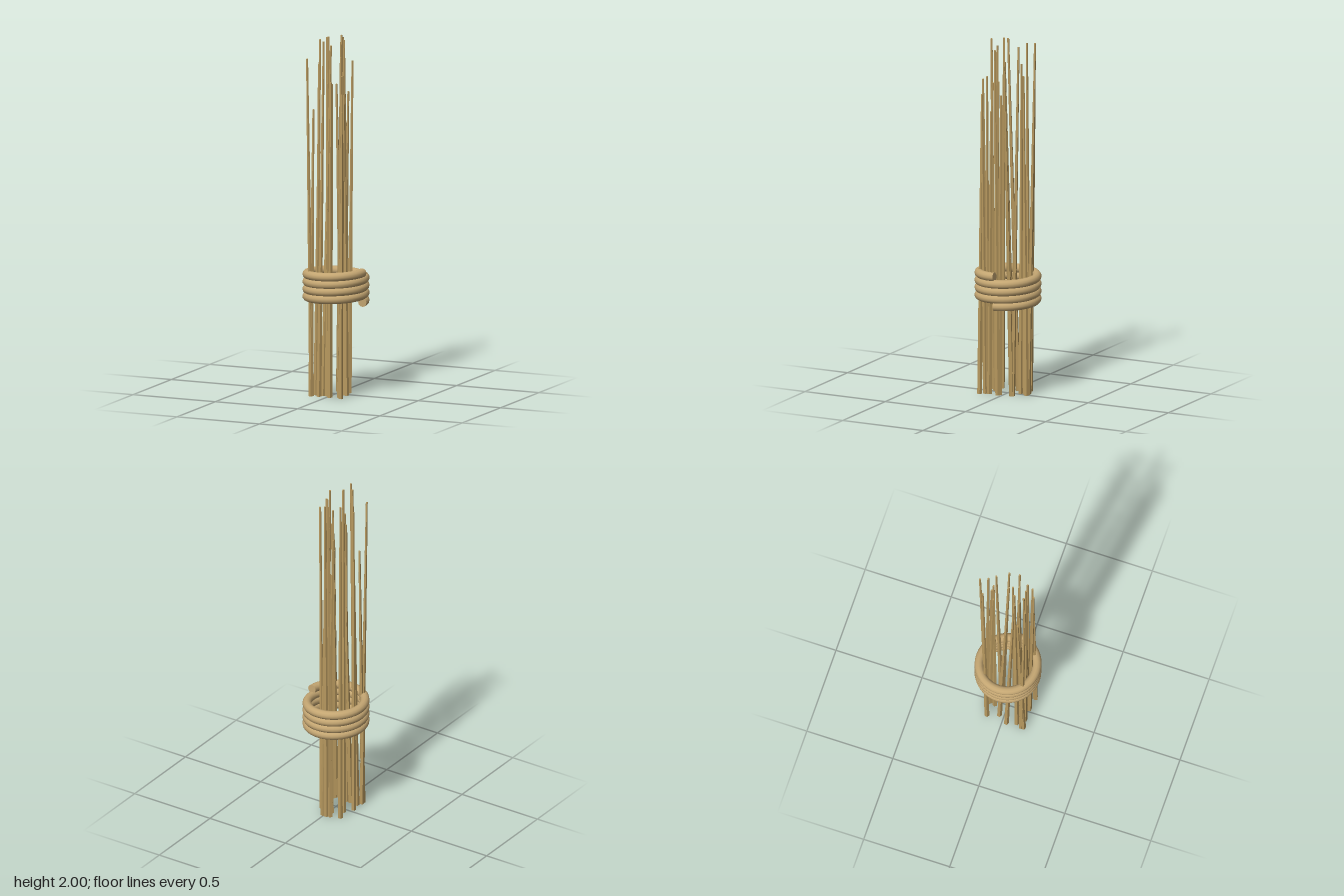
import * as THREE from 'three';

const straw = new THREE.MeshStandardMaterial({ color: 0xb8995f, flatShading: true });
const cord = new THREE.MeshStandardMaterial({ color: 0xc4a672 });

// Stalks: base x, base z, tip x, tip z, tip height
const STALKS = [
  [-0.016, -0.117, -0.029, -0.153, 1.97],
  [-0.09, -0.092, -0.105, -0.112, 1.97],
  [0.052, -0.056, 0.014, -0.073, 1.97],
  [0.058, -0.052, 0.09, -0.023, 1.87],
  [-0.068, -0.027, -0.036, 0.018, 2.0],
  [-0.1, 0.024, -0.075, 0.06, 1.85],
  [-0.084, 0.08, -0.068, 0.06, 1.99],
  [-0.097, 0.108, -0.112, 0.136, 1.89],
  [-0.096, 0.122, -0.096, 0.088, 1.6],
  [-0.038, 0.085, 0.0, 0.066, 1.96],
  [-0.012, 0.084, -0.02, 0.07, 1.75],
  [-0.05, 0.115, -0.022, 0.113, 1.99],
  [0.017, 0.114, 0.015, 0.086, 1.75],
  [0.016, 0.118, 0.033, 0.138, 1.77],
  [0.058, 0.022, 0.076, 0.003, 1.7],
  [0.074, 0.024, 0.07, 0.045, 1.95],
  [0.064, 0.082, 0.066, 0.07, 1.6],
  [0.062, 0.094, 0.08, 0.088, 1.8],
  [0.07, 0.104, 0.1, 0.11, 1.7],
  [0.088, 0.13, 0.09, 0.116, 1.6],
  [0.006, -0.118, -0.012, -0.09, 1.8],
  [-0.036, -0.11, -0.018, -0.108, 1.99],
  [-0.018, -0.07, -0.008, -0.08, 1.87],
  [-0.012, -0.1, -0.032, -0.075, 1.72],
];

// Tapered five-sided stalk, sheared so both ends stay level
function makeStalk([bx, bz, tx, tz, h], i) {
  const geo = new THREE.CylinderGeometry(0.006, 0.0145, h, 5);
  geo.rotateY(i * 1.3);
  geo.translate(0, h / 2, 0);
  const p = geo.attributes.position;
  for (let k = 0; k < p.count; k++) {
    const t = p.getY(k) / h;
    p.setX(k, p.getX(k) + bx + (tx - bx) * t);
    p.setZ(k, p.getZ(k) + bz + (tz - bz) * t);
  }
  geo.computeVertexNormals();
  const mesh = new THREE.Mesh(geo, straw);
  mesh.name = `stalk${i + 1}`;
  return mesh;
}

// Rising spiral of the binding cord
class Spiral extends THREE.Curve {
  getPoint(t, target = new THREE.Vector3()) {
    const a = t * 4 * Math.PI * 2;
    return target.set(0.16 * Math.cos(a), 0.523 + 0.167 * t, -0.16 * Math.sin(a));
  }
}

export function createModel() {
  const model = new THREE.Group();
  model.name = 'boundStalks';

  const bundle = new THREE.Group();
  bundle.name = 'stalkBundle';
  STALKS.forEach((s, i) => bundle.add(makeStalk(s, i)));
  model.add(bundle);

  const binding = new THREE.Group();
  binding.name = 'binding';
  const path = new Spiral();
  const coil = new THREE.Mesh(new THREE.TubeGeometry(path, 160, 0.025, 12), cord);
  coil.name = 'cordCoil';
  binding.add(coil);

  // Cut ends of the cord
  [0, 1].forEach((t) => {
    const end = new THREE.Mesh(new THREE.CircleGeometry(0.025, 12), cord);
    end.position.copy(path.getPoint(t));
    const out = path.getTangent(t).multiplyScalar(t ? 1 : -1);
    end.lookAt(end.position.clone().add(out));
    end.name = t ? 'cordUpperEnd' : 'cordLowerEnd';
    binding.add(end);
  });
  model.add(binding);
  return model;
}
